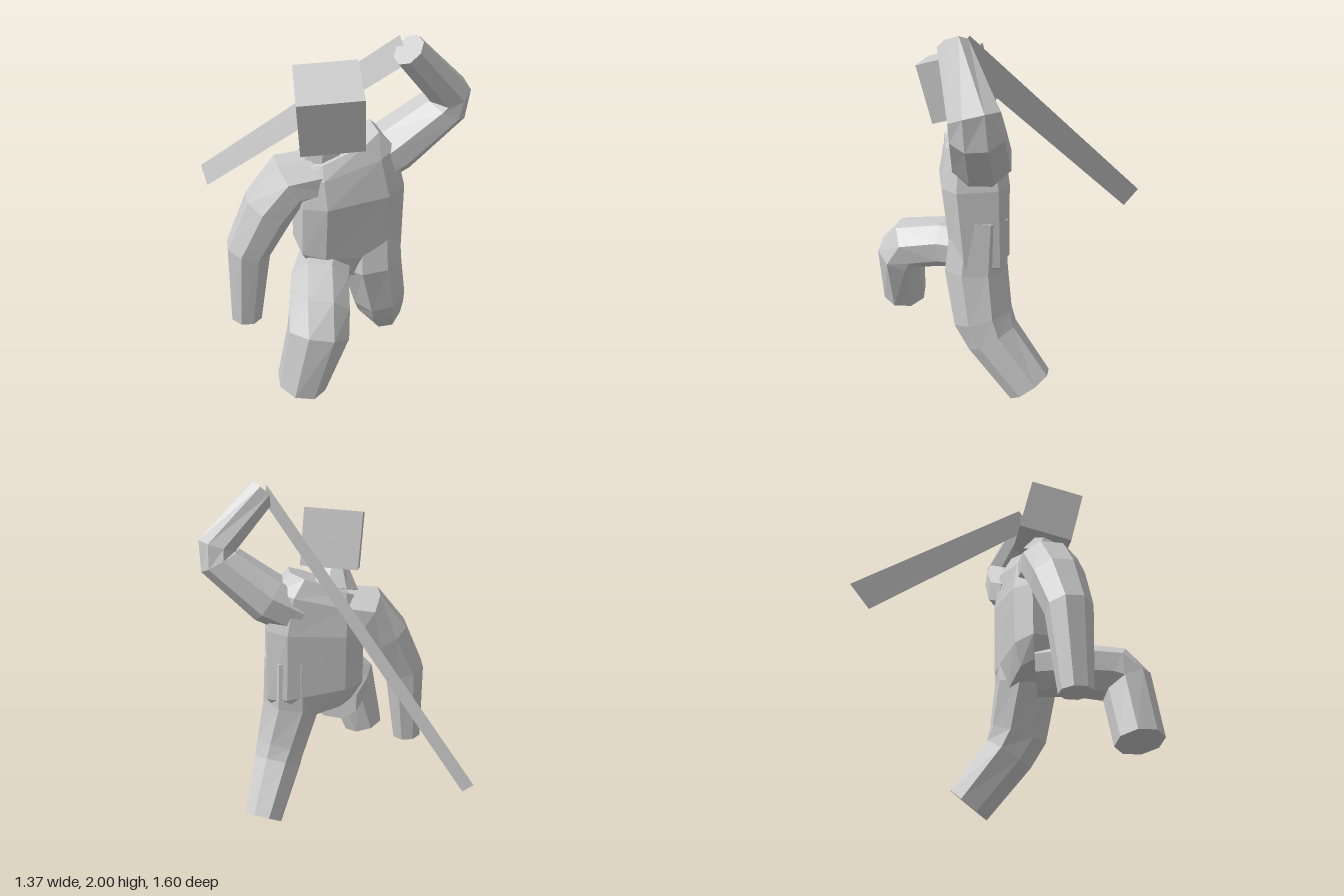
import * as THREE from 'three';

const material = new THREE.MeshStandardMaterial({ color: 0xcccccc, flatShading: true });
const X = new THREE.Vector3(1, 0, 0);
const Z = new THREE.Vector3(0, 0, 1);

// Eight-sided tube through stations [x, y, z, halfA, halfB]; halfA runs along ref,
// k is the share of each side left flat between the chamfers.
function limb(name, stations, ref, k = 0.42) {
  const pts = stations.map(s => new THREE.Vector3(s[0], s[1], s[2]));
  const octagon = [[1, -k], [1, k], [k, 1], [-k, 1], [-1, k], [-1, -k], [-k, -1], [k, -1]];
  const n = octagon.length, last = pts.length - 1;
  const pos = [], index = [];
  pts.forEach((p, i) => {
    const t = new THREE.Vector3();
    if (i > 0) t.add(p.clone().sub(pts[i - 1]).normalize());
    if (i < last) t.add(pts[i + 1].clone().sub(p).normalize());
    t.normalize();
    const a = ref.clone().addScaledVector(t, -ref.dot(t)).normalize();
    const b = t.clone().cross(a);
    for (const [u, v] of octagon) {
      const q = p.clone().addScaledVector(a, u * stations[i][3]).addScaledVector(b, v * stations[i][4]);
      pos.push(q.x, q.y, q.z);
    }
  });
  for (let r = 0; r < last; r++) {
    for (let i = 0; i < n; i++) {
      const p = r * n + i, q = r * n + (i + 1) % n;
      index.push(p, q, q + n, p, q + n, p + n);
    }
  }
  // flat end caps
  for (let i = 1; i < n - 1; i++) {
    index.push(0, i + 1, i);
    index.push(last * n, last * n + i, last * n + i + 1);
  }
  const g = new THREE.BufferGeometry();
  g.setAttribute('position', new THREE.Float32BufferAttribute(pos, 3));
  g.setIndex(index);
  g.computeVertexNormals();
  const mesh = new THREE.Mesh(g, material);
  mesh.name = name;
  return mesh;
}

export function createModel() {
  const model = new THREE.Group();
  model.name = 'swordFighter';

  // Torso, turned slightly to its right, shoulders rising to the left
  const across = new THREE.Vector3(0.99, 0, -0.14);
  model.add(limb('torso', [
    [0.04, 0.71, 0.21, 0.18, 0.12],
    [0.08, 0.84, 0.20, 0.28, 0.155],
    [0.075, 1.20, 0.215, 0.27, 0.175],
    [0.05, 1.38, 0.215, 0.25, 0.15],
    [0.02, 1.46, 0.225, 0.20, 0.11],
  ], across, 0.6));
  model.add(limb('neck', [
    [-0.04, 1.42, 0.22, 0.13, 0.11],
    [-0.05, 1.55, 0.27, 0.06, 0.06],
  ], across));

  // Head, a cube nodding forward
  const head = new THREE.Mesh(new THREE.BoxGeometry(0.31, 0.305, 0.305), material);
  head.name = 'head';
  const up = new THREE.Vector3(-0.025, 0.3, 0.075).normalize();
  const side = new THREE.Vector3(0.31, 0.03, 0.03);
  side.addScaledVector(up, -side.dot(up)).normalize();
  const fwd = side.clone().cross(up);
  head.quaternion.setFromRotationMatrix(new THREE.Matrix4().makeBasis(side, up, fwd));
  head.position.set(-0.035, 1.685, 0.29);
  model.add(head);

  // Left arm raised and folded back over the shoulder
  model.add(limb('leftArm', [
    [0.16, 1.30, 0.18, 0.14, 0.12],
    [0.32, 1.39, 0.155, 0.145, 0.13],
    [0.57, 1.60, 0.16, 0.125, 0.11],
    [0.58, 1.68, 0.17, 0.12, 0.10],
    [0.335, 1.945, 0.275, 0.075, 0.075],
  ], Z));

  // Right arm hanging
  model.add(limb('rightArm', [
    [-0.05, 1.31, 0.23, 0.14, 0.11],
    [-0.23, 1.29, 0.24, 0.155, 0.125],
    [-0.34, 1.14, 0.25, 0.14, 0.125],
    [-0.455, 0.91, 0.27, 0.115, 0.11],
    [-0.49, 0.46, 0.275, 0.08, 0.08],
  ], Z));

  // Left leg trailing behind
  model.add(limb('leftLeg', [
    [0.20, 1.05, 0.175, 0.15, 0.145],
    [0.205, 0.74, 0.20, 0.165, 0.165],
    [0.27, 0.47, 0.165, 0.145, 0.155],
    [0.295, 0.36, 0.115, 0.135, 0.14],
    [0.375, 0.09, -0.09, 0.105, 0.125],
  ], X));

  // Right leg with the thigh lifted forward and the shin down
  model.add(limb('rightLeg', [
    [-0.04, 0.73, 0.20, 0.14, 0.12],
    [-0.10, 0.735, 0.40, 0.15, 0.13],
    [-0.135, 0.71, 0.60, 0.15, 0.14],
    [-0.15, 0.64, 0.665, 0.15, 0.13],
    [-0.24, 0.315, 0.675, 0.12, 0.12],
  ], X));

  // Thin flat blade held in the left hand, sloping down behind the back
  const tip = [[-0.69, 0.82, -0.80], [-0.66, 0.72, -0.71]];
  const hilt = tip.map(([x, y, z]) => [x + 1, y + 1.17, z + 1]);
  const bladeGeo = new THREE.BufferGeometry();
  bladeGeo.setAttribute('position', new THREE.Float32BufferAttribute([...tip, ...hilt].flat(), 3));
  bladeGeo.setIndex([0, 1, 3, 0, 3, 2]);
  bladeGeo.computeVertexNormals();
  const bladeMaterial = material.clone();
  bladeMaterial.side = THREE.DoubleSide;
  const blade = new THREE.Mesh(bladeGeo, bladeMaterial);
  blade.name = 'blade';
  model.add(blade);

  return model;
}
